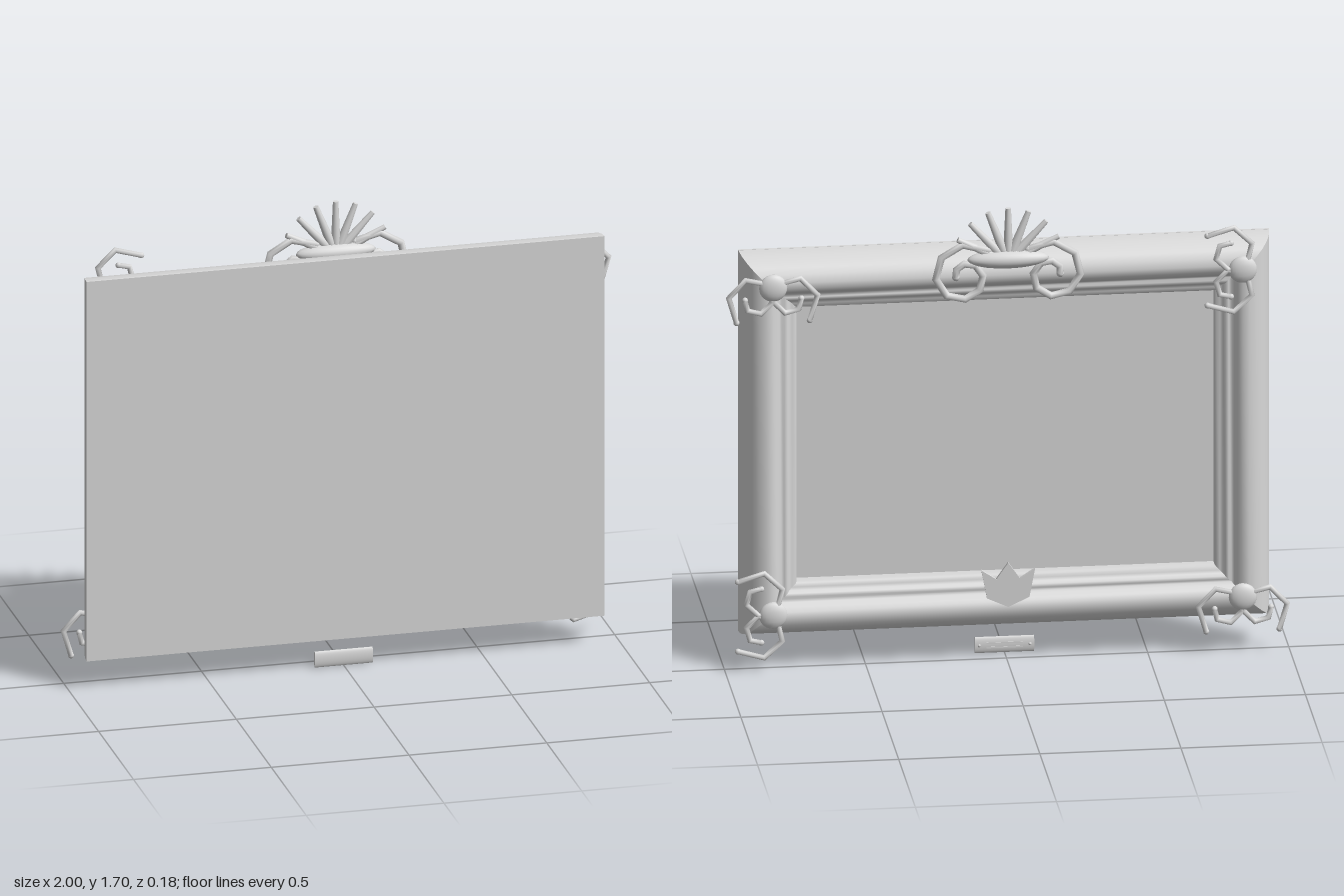
import * as THREE from 'three';

const W = 0.94, H = 0.7125, CY = 0.8225;   // frame half width, half height, centre height
const FACE = -0.045;                       // depth of the carved ornaments

// spiral in the xy plane; whole steps give faceted scrolls
class Spiral extends THREE.Curve {
  constructor(cx, cy, r0, r1, a0, sweep) {
    super();
    Object.assign(this, { cx, cy, r0, r1, a0, sweep });
  }
  getPoint(t) {
    const a = this.a0 + this.sweep * t, r = this.r0 + (this.r1 - this.r0) * t;
    return new THREE.Vector3(this.cx + r * Math.cos(a), this.cy + r * Math.sin(a), 0);
  }
  getPointAt(t) { return this.getPoint(t); }
  getTangentAt(t) { return this.getTangent(t); }
}

// tube with closed ends
function scroll(curve, steps, radius, mat, name) {
  const g = new THREE.Group();
  g.name = name;
  g.add(new THREE.Mesh(new THREE.TubeGeometry(curve, steps, radius, 8), mat));
  for (const t of [0, 1]) {
    const cap = new THREE.Mesh(new THREE.SphereGeometry(radius, 8, 6), mat);
    cap.position.copy(curve.getPoint(t));
    g.add(cap);
  }
  return g;
}

export function createModel() {
  const model = new THREE.Group();
  const plaster = new THREE.MeshStandardMaterial({ color: 0xd9d9d9 });
  plaster.name = 'plaster grey';
  const add = (geo, name, x, y, z, parent = model) => {
    const m = new THREE.Mesh(geo, plaster);
    m.name = name;
    m.position.set(x, y, z);
    parent.add(m);
    return m;
  };

  // moulding: [inset from the outer edge, depth], swept along four mitred rails
  const profile = [[0, 0.093], [0.002, 0.06], [0.008, 0.03], [0.02, 0.001], [0.036, -0.021],
    [0.058, -0.037], [0.085, -0.046], [0.108, -0.043], [0.124, -0.03], [0.134, -0.01],
    [0.143, 0], [0.153, -0.005], [0.164, -0.003], [0.172, 0.01], [0.182, 0.014],
    [0.196, 0.016], [0.2, 0.03], [0.2, 0.062]];
  for (let k = 0; k < 4; k++) {
    const [along, out] = k % 2 ? [H, W] : [W, H];
    const geo = new THREE.PlaneGeometry(2, 2, 1, profile.length - 1);
    const p = geo.attributes.position;
    for (let i = 0; i < p.count; i++) {
      const [inset, z] = profile[Math.floor(i / 2)];
      p.setXYZ(i, -p.getX(i) * (along - inset), out - inset, z);
    }
    geo.rotateZ(k * Math.PI / 2);
    geo.computeVertexNormals();
    add(geo, 'frameRail', 0, CY, 0);
  }
  add(new THREE.BoxGeometry(2 * W, 2 * H, 0.01), 'backBoard', 0, CY, 0.088);
  add(new THREE.BoxGeometry(2 * W - 0.38, 2 * H - 0.38, 0.025), 'picturePanel', 0, CY, 0.0725);

  // corner ornaments: a domed boss with a pair of scrolls, turned on two corners
  for (const [sx, sy] of [[-1, 1], [1, 1], [1, -1], [-1, -1]]) {
    const corner = new THREE.Group();
    corner.name = 'cornerOrnament';
    for (const s of [-1, 1]) {
      const a0 = s > 0 ? -0.89 : Math.PI + 0.89;
      corner.add(scroll(new Spiral(s * 0.065, -0.045, 0.103, 0.035, a0, s * 7.25), 7, 0.011,
        plaster, 'cornerScroll'));
    }
    add(new THREE.SphereGeometry(0.05, 16, 12), 'cornerBoss', 0, 0, 0, corner).scale.z = 0.45;
    corner.position.set(sx * 0.832, CY + sy * 0.612, FACE);
    if (sx * sy < 0) corner.rotation.z = Math.PI / 2;
    model.add(corner);
  }

  // crest: shell, fan of rays and two large scrolls
  const crest = new THREE.Group();
  crest.name = 'crest';
  crest.position.set(0, 1.5, -0.05);
  model.add(crest);
  add(new THREE.SphereGeometry(1, 24, 14), 'crestShell', 0, 0.012, 0, crest).scale.set(0.145, 0.034, 0.04);
  for (let i = -3; i <= 3; i++) {
    const geo = new THREE.CylinderGeometry(0.01, 0.018, 0.17, 8);
    geo.translate(0, 0.115, 0);
    add(geo, 'crestRay', 0, 0, 0, crest).rotation.z = -i * 0.37;
  }
  for (const s of [-1, 1]) {
    const a0 = s > 0 ? 2.3 : Math.PI - 2.3;
    crest.add(scroll(new Spiral(s * 0.155, -0.05, 0.128, 0.03, a0, -s * 8.6), 11, 0.014,
      plaster, 'crestScroll'));
  }

  // pointed leaf on the bottom rail
  const half = [[0.075, -0.045], [0.095, 0.06], [0.042, 0.025]];
  const outline = [[0, -0.08], ...half, [0, 0.085], ...half.map(([x, y]) => [-x, y]).reverse()];
  const leaf = new THREE.Shape(outline.map(([x, y]) => new THREE.Vector2(x, y)));
  add(new THREE.ExtrudeGeometry(leaf, { depth: 0.012, bevelEnabled: false }), 'bottomLeaf', 0, 0.29, -0.054);

  // small plaque hanging below, with raised bars and pins
  const plate = new THREE.CylinderGeometry(0.03, 0.03, 0.21, 24);
  plate.rotateZ(Math.PI / 2);
  plate.scale(1, 1, 0.28);
  add(plate, 'plaque', 0, 0.03, 0.063);
  for (const y of [0.022, 0.038])
    add(new THREE.BoxGeometry(0.13, 0.005, 0.006), 'plaqueBar', 0, y, 0.056);
  for (const s of [-1, 1])
    add(new THREE.SphereGeometry(0.006, 8, 6), 'plaquePin', s * 0.09, 0.03, 0.056);

  return model;
}
